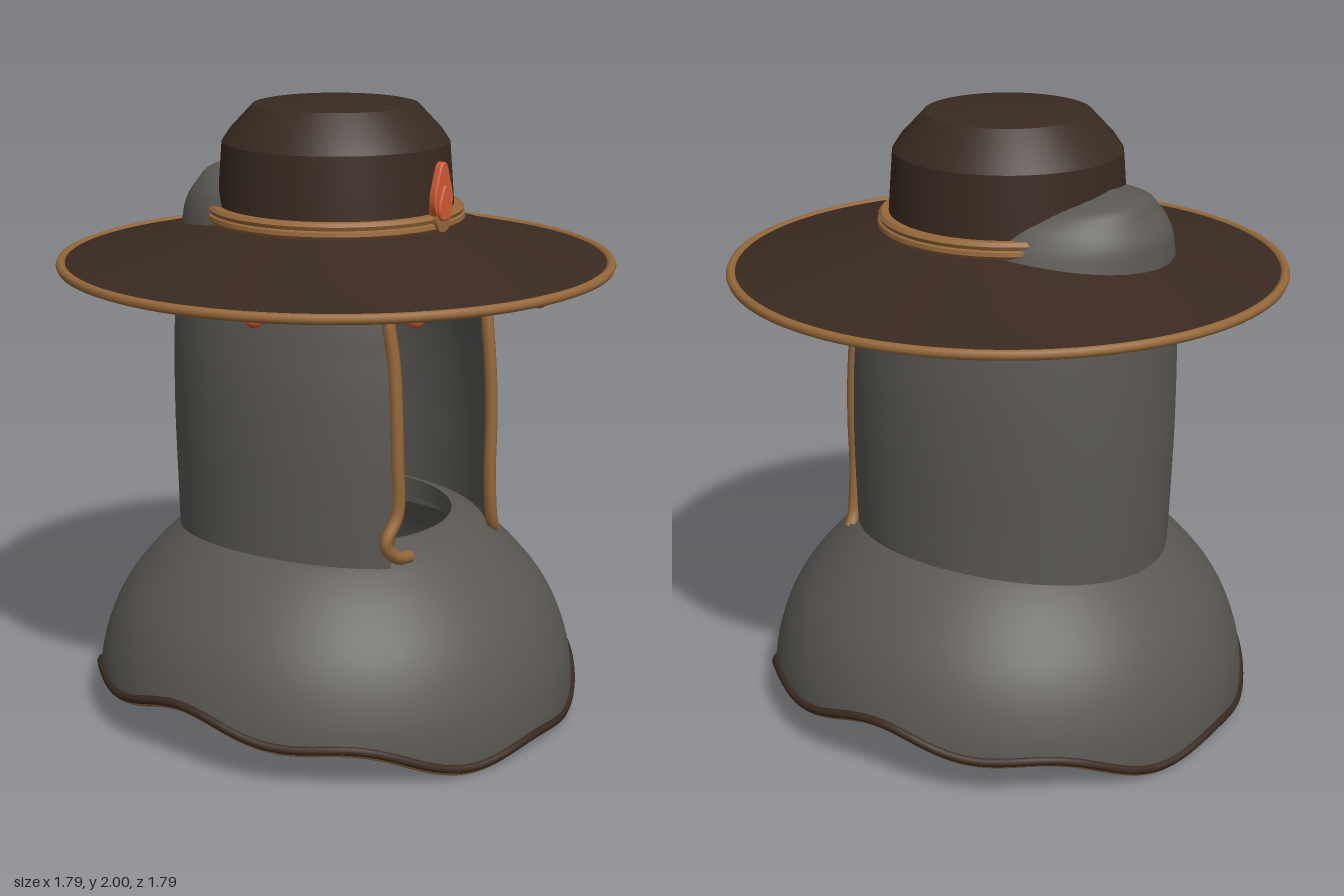
import * as THREE from 'three';
import { toCreasedNormals } from 'three/addons/utils/BufferGeometryUtils.js';

const material = (color) => new THREE.MeshStandardMaterial({ color, side: THREE.DoubleSide });
const cloth = material(0x5b5853);
const leather = material(0x3a2a21);
const tan = material(0x96683a);
const coral = material(0xd05a36);

const V = (x, y, z) => new THREE.Vector3(x, y, z);

function add(group, name, geometry, mat, crease = 0.6) {
  const mesh = new THREE.Mesh(crease ? toCreasedNormals(geometry, crease) : geometry, mat);
  mesh.name = name;
  group.add(mesh);
  return mesh;
}

// Surface of revolution from [radius, y] pairs
const lathe = (points, segments = 72) =>
  new THREE.LatheGeometry(points.map(([r, y]) => new THREE.Vector2(r, y)), segments);

// Grid surface from a rule (u, v) -> point
function gridSurface(cols, rows, rule) {
  const positions = [], index = [];
  for (let j = 0; j <= rows; j++)
    for (let i = 0; i <= cols; i++) positions.push(...rule(i / cols, j / rows).toArray());
  for (let j = 0; j < rows; j++)
    for (let i = 0; i < cols; i++) {
      const a = j * (cols + 1) + i, b = a + cols + 1;
      index.push(a, b, a + 1, b, b + 1, a + 1);
    }
  const geometry = new THREE.BufferGeometry();
  geometry.setAttribute('position', new THREE.Float32BufferAttribute(positions, 3));
  geometry.setIndex(index);
  return geometry;
}

// Smooth lookup in rows of [key, values...]
function table(rows) {
  const size = rows[0].length - 1;
  const spline = new THREE.CubicInterpolant(
    rows.map((r) => r[0]), rows.flatMap((r) => r.slice(1)), size, new Float32Array(size));
  return (key) => Array.from(spline.evaluate(key));
}

const tube = (points, radius, closed = false, segments = 120) =>
  new THREE.TubeGeometry(new THREE.CatmullRomCurve3(points, closed), segments, radius, 8, closed);

// Hood sections: y, half width, half depth, centre z, half angle of the face opening
const hoodSection = table([
  [0.53, 0.475, 0.53, -0.015, 0.62],
  [0.75, 0.475, 0.54, -0.015, 0.57],
  [1.0, 0.475, 0.545, -0.018, 0.575],
  [1.25, 0.46, 0.54, -0.025, 0.59],
  [1.48, 0.415, 0.522, -0.043, 0.63],
  [1.6, 0.36, 0.465, -0.095, 0.5],
  [1.66, 0.33, 0.425, -0.125, 0.25],
  [1.72, 0.27, 0.315, -0.195, 0.0],
  [1.765, 0.15, 0.17, -0.295, 0.0],
  [1.785, 0.002, 0.002, -0.37, 0.0],
]);
function hoodPoint(y, angle) {
  const [a, b, cz] = hoodSection(y);
  return V(a * Math.sin(angle), y, cz + b * Math.cos(angle));
}
const openingAt = (y) => Math.max(0, hoodSection(y)[3]);

// Cape radius by height, and the scalloped hem
const capeRadius = table([
  [0, 0.795], [0.08, 0.797], [0.22, 0.776], [0.38, 0.708], [0.51, 0.605],
  [0.58, 0.53], [0.62, 0.475], [0.655, 0.4],
]);
const hemHeight = (t) => 0.024 + 0.155 * Math.sin(t) ** 2 + 0.022 * Math.cos(8 * t);
function capePoint(t, y, inset = 0) {
  const r = capeRadius(y)[0] - inset;
  return V(r * Math.sin(t), y, r * Math.cos(t));
}

function makeHood() {
  const hood = new THREE.Group();
  hood.name = 'hood';
  add(hood, 'hoodShell', gridSurface(64, 56, (u, v) => {
    const y = 0.53 + 1.255 * (1 - (1 - v) ** 1.5);
    const open = openingAt(y);
    return hoodPoint(y, -open - u * 2 * (Math.PI - open));
  }), cloth, 0.9);

  // Edging on both sides of the face opening; the right end curls inward
  const ends = {
    1: [V(0.305, 0.585, 0.43), V(0.28, 0.615, 0.437)],
    '-1': [V(-0.19, 0.625, 0.44), V(-0.25, 0.637, 0.44), V(-0.3, 0.69, 0.43)],
  };
  for (const side of [1, -1]) {
    const path = [...ends[side]];
    for (const y of [0.78, 0.95, 1.1, 1.25, 1.4, 1.5, 1.58, 1.64])
      path.push(hoodPoint(y, side * openingAt(y)));
    add(hood, side > 0 ? 'leftFaceTrim' : 'rightFaceTrim', tube(path, 0.021, false, 60), tan, 0);
  }
  return hood;
}

function makeCape() {
  const cape = new THREE.Group();
  cape.name = 'cape';
  add(cape, 'capeShell', gridSurface(112, 28, (u, v) => {
    const t = Math.PI + u * Math.PI * 2;
    return capePoint(t, THREE.MathUtils.lerp(0.655, hemHeight(t), v ** 1.4));
  }), cloth, 0.9);
  add(cape, 'neckLip', lathe([[0.4, 0.655], [0.385, 0.655], [0.385, 0.59]]), cloth, 0.5);

  // Hem binding: dark outer cord over a lighter inner cord
  const hem = (inset, lift) => Array.from({ length: 80 }, (_, i) => {
    const t = (i / 80) * Math.PI * 2;
    const p = capePoint(t, hemHeight(t), inset);
    p.y += lift;
    return p;
  });
  add(cape, 'hemCord', tube(hem(0, 0.006), 0.014, true, 200), leather, 0);
  add(cape, 'hemTrim', tube(hem(0.012, -0.003), 0.016, true, 200), tan, 0);
  return cape;
}

function makeHat() {
  const hat = new THREE.Group();
  hat.name = 'hat';
  add(hat, 'brim', lathe([[0.36, 1.605], [0.88, 1.48], [0.885, 1.495], [0.62, 1.556], [0.37, 1.63]]), leather, 0.4);
  add(hat, 'crown', lathe([[0.382, 1.6], [0.372, 1.74], [0.362, 1.87], [0.335, 1.91],
    [0.262, 1.987], [0.24, 1.992], [0, 2]]), leather, 0.5);
  const rim = add(hat, 'brimEdge', new THREE.TorusGeometry(0.878, 0.016, 8, 96), tan, 0);
  rim.rotation.x = Math.PI / 2;
  rim.position.y = 1.492;
  add(hat, 'hatBand', lathe([[0.37, 1.625], [0.405, 1.625], [0.414, 1.635], [0.412, 1.648],
    [0.405, 1.652], [0.41, 1.664], [0.4, 1.675], [0.37, 1.675]]), tan, 0.5);

  // Beads hanging under the front of the brim
  for (let i = -2; i <= 2; i++) {
    const angle = i * 0.608;
    const bead = add(hat, 'bead', new THREE.SphereGeometry(0.029, 16, 12), coral, 0);
    bead.position.set(0.77 * Math.sin(angle), 1.462, 0.77 * Math.cos(angle));
  }
  return hat;
}

// Leaf outline standing on its base
function leafShape(width, height) {
  const shape = new THREE.Shape();
  shape.moveTo(-width * 0.45, 0);
  shape.bezierCurveTo(-width * 1.3, height * 0.3, -width * 0.6, height * 0.6, -width * 0.3, height * 0.93);
  shape.quadraticCurveTo(0, height * 1.07, width * 0.3, height * 0.93);
  shape.bezierCurveTo(width * 0.6, height * 0.6, width * 1.3, height * 0.3, width * 0.45, 0);
  return shape;
}

function makeOrnament() {
  const ornament = new THREE.Group();
  ornament.name = 'ornament';
  const leaf = (name, w, h, depth, y, z) => add(ornament, name, new THREE.ExtrudeGeometry(leafShape(w, h), {
    depth, bevelEnabled: true, bevelSize: 0.004, bevelThickness: 0.004, bevelSegments: 1, curveSegments: 8,
  }), coral, 0.5).position.set(0, y, z);
  leaf('largeLeaf', 0.052, 0.165, 0.018, 1.67, 0.4);
  leaf('smallLeaf', 0.036, 0.1, 0.036, 1.664, 0.39);
  const stud = add(ornament, 'stud', new THREE.CylinderGeometry(0.036, 0.036, 0.02, 16), tan, 0.5);
  stud.rotation.x = Math.PI / 2;
  stud.position.set(0, 1.658, 0.41);
  return ornament;
}

export function createModel() {
  const model = new THREE.Group();
  model.name = 'hoodedHat';
  model.add(makeHood(), makeCape(), makeHat(), makeOrnament());
  return model;
}
